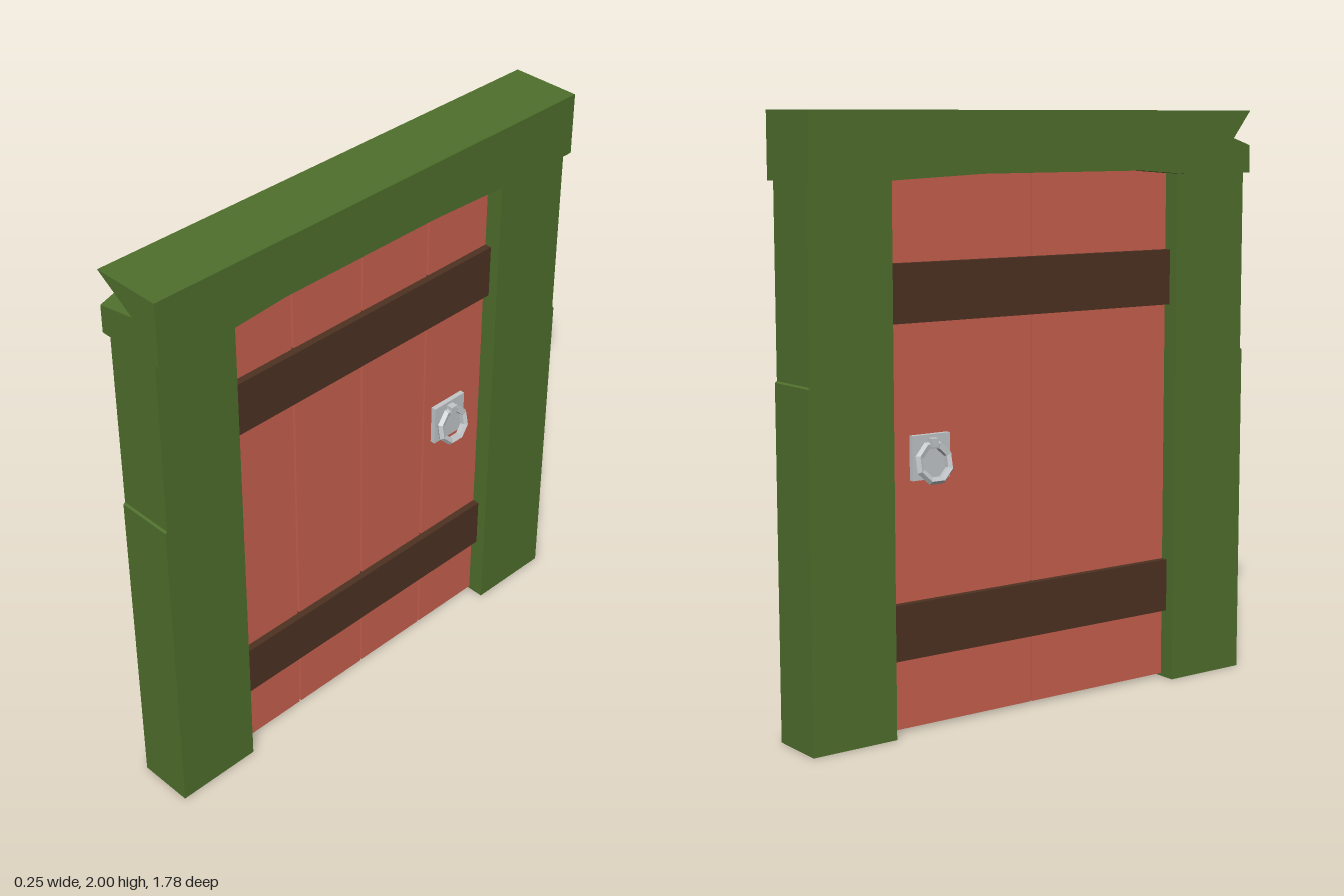
import * as THREE from 'three';
import { ConvexGeometry } from 'three/addons/geometries/ConvexGeometry.js';

const mat = (name, color) => {
  const m = new THREE.MeshStandardMaterial({ color, flatShading: true });
  m.name = name;
  return m;
};

export function createModel() {
  const green = mat('frame green', 0x50702d);
  const red = mat('door red', 0xc9614e);
  const brown = mat('strap brown', 0x4d3222);
  const silver = mat('handle silver', 0xc4c8ca);
  const root = new THREE.Group();
  root.name = 'door';

  const add = (parent, name, geo, material) => {
    const mesh = new THREE.Mesh(geo, material);
    mesh.name = name;
    parent.add(mesh);
    return mesh;
  };
  // Box given by its limits on each axis
  const box = (parent, name, material, x0, x1, y0, y1, z0, z1) => {
    const mesh = add(parent, name, new THREE.BoxGeometry(x1 - x0, y1 - y0, z1 - z0), material);
    mesh.position.set((x0 + x1) / 2, (y0 + y1) / 2, (z0 + z1) / 2);
    return mesh;
  };
  // Outline of [z, y] points extruded across x
  const slab = (name, points, halfDepth) => {
    const shape = new THREE.Shape(points.map(([z, y]) => new THREE.Vector2(-z, y)));
    const geo = new THREE.ExtrudeGeometry(shape, { depth: halfDepth * 2, bevelEnabled: false });
    geo.translate(0, 0, -halfDepth).rotateY(Math.PI / 2);
    return add(root, name, geo, green);
  };

  // Posts, slightly narrower above the middle
  for (const s of [1, -1]) {
    slab(s > 0 ? 'leftPost' : 'rightPost', [
      [s * 0.58, 0], [s * 0.89, 0], [s * 0.89, 1.16], [s * 0.883, 1.165],
      [s * 0.883, 1.8], [s * 0.58, 1.8],
    ], 0.1);
  }

  // Lintel with a shallow arch underneath
  const D = 0.125, Z0 = 0.815, Z1 = 0.89, mid = 1.905;
  slab('lintel', [
    [-Z1, 2], [-Z1, 1.785], [-0.6, 1.785], [-0.25, 1.8], [0.4, 1.8],
    [0.6, 1.785], [Z0, 1.785], [Z0, 2],
  ], D);

  // Chipped lintel end: two blocks meeting at the bottom of the chip
  const chipEnd = (name, edgeY, farY) => {
    const pts = [
      [-D, mid, Z0], [0.02, mid, Z1], [D, mid, Z1], [D, mid, Z0], [-D, edgeY, Z1],
      [-D, farY, Z0], [-D, farY, Z1], [D, farY, Z0], [D, farY, Z1],
    ].map((p) => new THREE.Vector3(...p));
    add(root, name, new ConvexGeometry(pts), green);
  };
  chipEnd('lintelEndTop', 2, 2);
  chipEnd('lintelEndBottom', 1.88, 1.785);

  // Door leaf: core with planks and narrow grooves
  const leaf = new THREE.Group();
  leaf.name = 'doorLeaf';
  root.add(leaf);
  box(leaf, 'doorCore', red, -0.028, 0.028, 0.01, 1.82, -0.6, 0.6);
  const planks = (name, edges, x0, x1) => {
    for (let i = 0; i < edges.length - 1; i++) {
      box(leaf, name, red, x0, x1, 0.01, 1.82, edges[i] + 0.004, edges[i + 1] - 0.004);
    }
  };
  planks('frontPlank', [-0.6, -0.3, 0, 0.3, 0.6], 0.028, 0.04);
  planks('backPlank', [-0.6, 0, 0.6], -0.04, -0.028);

  // Cross straps wrap both faces
  box(root, 'lowerStrap', brown, -0.065, 0.065, 0.245, 0.43, -0.59, 0.59);
  box(root, 'upperStrap', brown, -0.065, 0.065, 1.335, 1.525, -0.59, 0.59);

  // Ring handle on each face
  for (const s of [1, -1]) {
    const handle = new THREE.Group();
    handle.name = s > 0 ? 'frontHandle' : 'backHandle';
    handle.position.set(s * 0.04, 0.9, -0.412);
    handle.rotation.y = s * Math.PI / 2;
    root.add(handle);
    box(handle, 'handlePlate', silver, -0.072, 0.072, -0.073, 0.073, 0, 0.018);
    box(handle, 'handleLug', silver, -0.013, 0.013, 0.035, 0.062, 0.018, 0.042);
    const ring = add(handle, 'handleRing', new THREE.TorusGeometry(0.06, 0.014, 5, 8), silver);
    ring.rotation.set(-0.2, 0, Math.PI / 8);
    ring.position.set(0, -0.018, 0.035);
  }
  return root;
}
